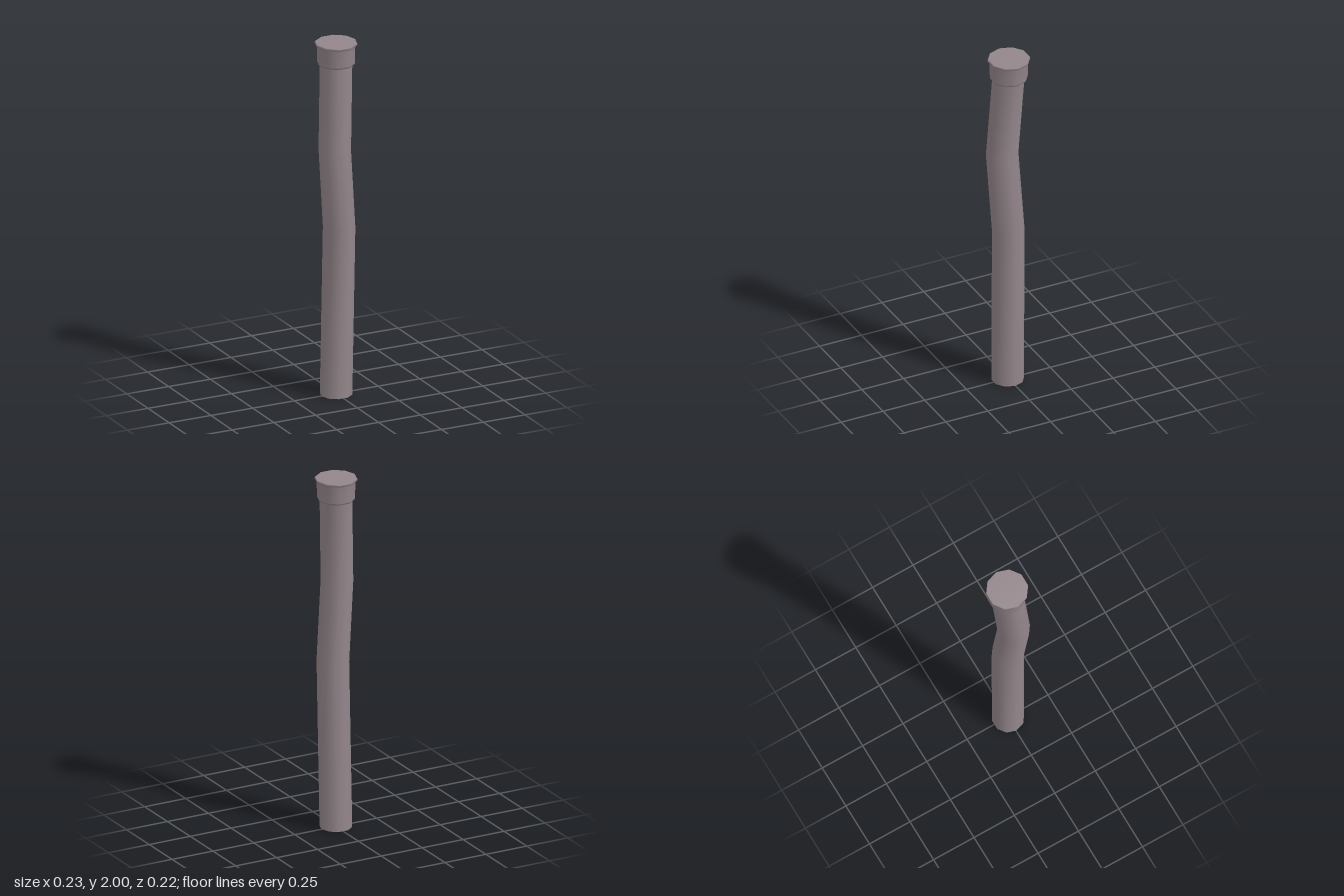
import * as THREE from 'three';
import { mergeVertices } from 'three/addons/utils/BufferGeometryUtils.js';

const SIDES = 10;
const RADIUS = 0.088;

// Centre line of the bent pipe: x, y, z at each ring, bottom to top
const RINGS = [
  [-0.002, 0, 0.002],
  [0.013, 0.95, 0.008],
  [-0.022, 1.4, 0.026],
  [0, 1.9, -0.002],
];

// Cylinder whose rings are shifted onto the centre line
function bentPipe() {
  const n = RINGS.length - 1;
  let geo = new THREE.CylinderGeometry(RADIUS, RADIUS, n, SIDES, n, true, Math.PI / 2);
  const pos = geo.attributes.position;
  for (let i = 0; i < pos.count; i++) {
    const [x, y, z] = RINGS[Math.round(pos.getY(i) + n / 2)];
    pos.setXYZ(i, pos.getX(i) + x, y, pos.getZ(i) + z);
  }
  geo.deleteAttribute('uv');
  geo.deleteAttribute('normal');
  geo = mergeVertices(geo);
  geo.computeVertexNormals();
  return geo;
}

export function createModel() {
  const group = new THREE.Group();
  const metal = new THREE.MeshStandardMaterial({ color: 0x93868b });
  metal.name = 'dull grey metal';

  const add = (name, geo) => {
    const mesh = new THREE.Mesh(geo, metal);
    mesh.name = name;
    group.add(mesh);
    return mesh;
  };

  add('pipe', bentPipe());

  // Flat end at the foot of the pipe
  const foot = add('pipeFoot', new THREE.CircleGeometry(RADIUS, SIDES));
  foot.rotation.x = Math.PI / 2;
  foot.position.set(...RINGS[0]);

  // Collar with a flared lip and closed top
  const profile = [
    [0.08, 1.875], [0.097, 1.875], [0.103, 1.886], [0.104, 1.975],
    [0.115, 1.988], [0.115, 1.996], [0.111, 2], [0, 2],
  ].map(([r, y]) => new THREE.Vector2(r, y));
  const cap = add('cap', new THREE.LatheGeometry(profile, SIDES, Math.PI / 2));
  cap.position.z = -0.003;

  return group;
}
